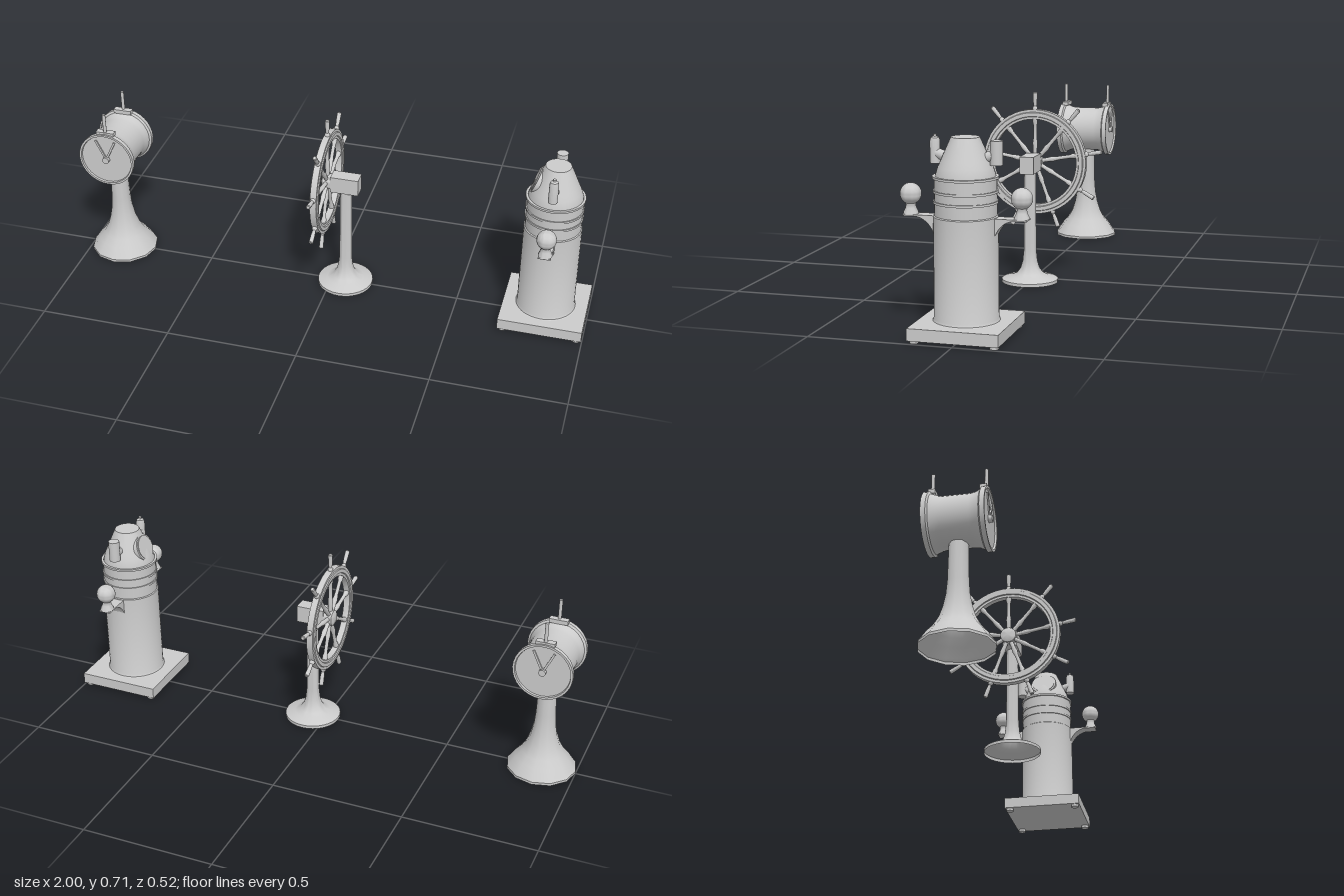
import * as THREE from 'three';
import { toCreasedNormals } from 'three/addons/utils/BufferGeometryUtils.js';

const mat = new THREE.MeshStandardMaterial({ color: 0xcccccc });
const thin = new THREE.MeshStandardMaterial({ color: 0xcccccc, side: THREE.DoubleSide });

function add(parent, name, geo, x = 0, y = 0, z = 0, material = mat) {
  const mesh = new THREE.Mesh(geo, material);
  mesh.name = name;
  mesh.position.set(x, y, z);
  parent.add(mesh);
  return mesh;
}

function group(parent, name, x = 0, y = 0, z = 0) {
  const g = new THREE.Group();
  g.name = name;
  g.position.set(x, y, z);
  parent.add(g);
  return g;
}

// Turned part from [radius, height] pairs
function lathe(points, sides = 32, crease = 0.6) {
  const profile = points.map(([r, y]) => new THREE.Vector2(r, y));
  return toCreasedNormals(new THREE.LatheGeometry(profile, sides), crease);
}

// Cylinder running between two points
function rod(parent, name, a, b, r, sides = 16) {
  const from = new THREE.Vector3(...a), dir = new THREE.Vector3(...b).sub(from);
  const mesh = add(parent, name, new THREE.CylinderGeometry(r, r, dir.length(), sides));
  mesh.position.copy(from).addScaledVector(dir, 0.5);
  mesh.quaternion.setFromUnitVectors(new THREE.Vector3(0, 1, 0), dir.normalize());
  return mesh;
}

// Two-faced signal telegraph on a flared pedestal
function buildTelegraph(parent) {
  const g = group(parent, 'telegraph', -0.87);
  add(g, 'telegraphPedestal', lathe([[0.13, 0], [0.13, 0.01], [0.122, 0.02], [0.102, 0.05], [0.08, 0.075],
    [0.063, 0.105], [0.05, 0.145], [0.041, 0.19], [0.037, 0.24], [0.034, 0.38]], 12), 0, 0, 0, thin);

  const head = group(g, 'telegraphHead', 0, 0.465, 0);
  const drum = lathe([[0, -0.1], [0.1, -0.1], [0.102, -0.107], [0.11, -0.107], [0.11, -0.09], [0.102, -0.085],
    [0.094, -0.065], [0.091, -0.05], [0.091, 0.05], [0.094, 0.065], [0.102, 0.085], [0.11, 0.09],
    [0.11, 0.107], [0.102, 0.107], [0.1, 0.1], [0, 0.1]], 32).rotateX(Math.PI / 2);
  add(head, 'drum', drum);
  for (const s of [-1, 1]) {
    add(head, 'dialBoss', new THREE.CylinderGeometry(0.013, 0.013, 0.016, 16).rotateX(Math.PI / 2), 0, 0, s * 0.106);
    for (const side of [-1, 1]) {
      const pointer = add(head, 'pointer', new THREE.BoxGeometry(0.008, 0.088, 0.005), side * 0.019, 0.04, s * 0.104);
      pointer.rotation.z = -side * 0.445;
    }
    add(head, 'handleMount', new THREE.BoxGeometry(0.07, 0.016, 0.024), 0, 0.109, s * 0.088);
    rod(head, 'handle', [0, 0.1, s * 0.092], [0, 0.192, s * 0.092], 0.0065, 12);
  }
}

// Nine-spoked steering wheel on a stand
function buildWheel(parent) {
  const g = group(parent, 'steeringStand');
  add(g, 'standColumn', lathe([[0.107, 0], [0.107, 0.012], [0.1, 0.016], [0.07, 0.022], [0.05, 0.033],
    [0.036, 0.052], [0.028, 0.08], [0.024, 0.12], [0.022, 0.43]], 32), 0.055, 0, 0, thin);
  add(g, 'gearBox', new THREE.BoxGeometry(0.108, 0.065, 0.054), 0.054, 0.452, 0);

  const wheel = group(g, 'wheel', -0.018, 0.45, 0);
  const rim = lathe([[0.163, -0.012], [0.172, -0.012], [0.174, -0.016], [0.188, -0.016], [0.19, -0.012],
    [0.2, -0.012], [0.2, 0.012], [0.19, 0.012], [0.188, 0.016], [0.174, 0.016], [0.172, 0.012],
    [0.163, 0.012], [0.163, -0.012]], 48).rotateZ(Math.PI / 2);
  add(wheel, 'rim', rim);
  add(wheel, 'hub', lathe([[0, -0.018], [0.03, -0.018], [0.03, 0.014], [0.018, 0.02], [0, 0.02]], 24)
    .rotateZ(Math.PI / 2));
  const spoke = lathe([[0.008, 0.015], [0.008, 0.05], [0.01, 0.07], [0.007, 0.09], [0.007, 0.14], [0.01, 0.15],
    [0.01, 0.205], [0.006, 0.212], [0.008, 0.23], [0.0085, 0.262], [0.006, 0.265], [0, 0.265]], 12);
  for (let i = 0; i < 9; i++) add(wheel, 'spoke', spoke).rotation.x = (i * Math.PI * 2) / 9;
}

// Compass stand with hood, lamps and two compensating spheres
function buildBinnacle(parent) {
  const g = group(parent, 'compassStand', 0.84);
  add(g, 'basePlate', new THREE.BoxGeometry(0.316, 0.042, 0.31), 0, 0.031, 0);
  for (const x of [-1, 1]) for (const z of [-1, 1]) {
    add(g, 'foot', new THREE.CylinderGeometry(0.015, 0.015, 0.012, 16), x * 0.138, 0.006, z * 0.136);
  }
  add(g, 'column', lathe([[0, 0.05], [0.12, 0.05], [0.112, 0.054], [0.108, 0.062], [0.107, 0.402], [0.103, 0.405],
    [0.103, 0.53], [0, 0.53]], 40));
  for (const y of [0.45, 0.485, 0.531]) {
    const r = y > 0.5 ? 0.109 : 0.107;
    add(g, 'band', lathe([[0.1, y - 0.004], [r, y - 0.004], [r, y + 0.004], [0.1, y + 0.004]], 40));
  }
  add(g, 'hood', lathe([[0.1, 0.53], [0.099, 0.54], [0.091, 0.564], [0.08, 0.588], [0.066, 0.62], [0.047, 0.662],
    [0, 0.662]], 40));

  // Tilted viewing port
  rod(g, 'viewingPort', [-0.01, 0.57, 0], [-0.074, 0.595, 0], 0.053, 32);
  rod(g, 'portGlass', [-0.07, 0.5935, 0], [-0.077, 0.596, 0], 0.046, 32);

  // Side lamps and their arms
  add(g, 'capLamp', lathe([[0, 0.572], [0.017, 0.572], [0.017, 0.645], [0.014, 0.656], [0.006, 0.66],
    [0.006, 0.667], [0, 0.668]], 20), 0, 0, 0.104);
  add(g, 'plainLamp', new THREE.CylinderGeometry(0.021, 0.021, 0.08, 20), 0, 0.613, -0.105);
  for (const s of [-1, 1]) rod(g, 'lampArm', [0, 0.59, s * 0.05], [0, 0.606, s * 0.1], 0.017);

  // Curved brackets carrying the spheres
  const shape = new THREE.Shape();
  shape.moveTo(0.09, 0.4);
  shape.lineTo(0.09, 0.345);
  shape.lineTo(0.106, 0.345);
  shape.quadraticCurveTo(0.125, 0.388, 0.165, 0.395);
  shape.lineTo(0.212, 0.395);
  shape.lineTo(0.212, 0.4);
  const bracket = new THREE.ExtrudeGeometry(shape, { depth: 0.046, bevelEnabled: false, curveSegments: 8 });
  bracket.translate(0, 0, -0.023).rotateY(-Math.PI / 2);
  const sphere = lathe([[0, 0.4], [0.026, 0.4], [0.024, 0.408], [0.018, 0.42], [0.0165, 0.43],
    ...Array.from({ length: 13 }, (_, i) => {
      const a = -1.05 + (i / 12) * (Math.PI / 2 + 1.05);
      return [Math.max(0, 0.036 * Math.cos(a)), 0.467 + 0.036 * Math.sin(a)];
    })], 28);
  for (const s of [-1, 1]) {
    const side = group(g, 'sphereMount');
    side.rotation.y = s > 0 ? 0 : Math.PI;
    add(side, 'bracket', bracket);
    add(side, 'compensatingSphere', sphere, 0, 0, 0.19);
  }
}

export function createModel() {
  const model = new THREE.Group();
  model.name = 'shipBridgeInstruments';
  buildTelegraph(model);
  buildWheel(model);
  buildBinnacle(model);
  return model;
}
